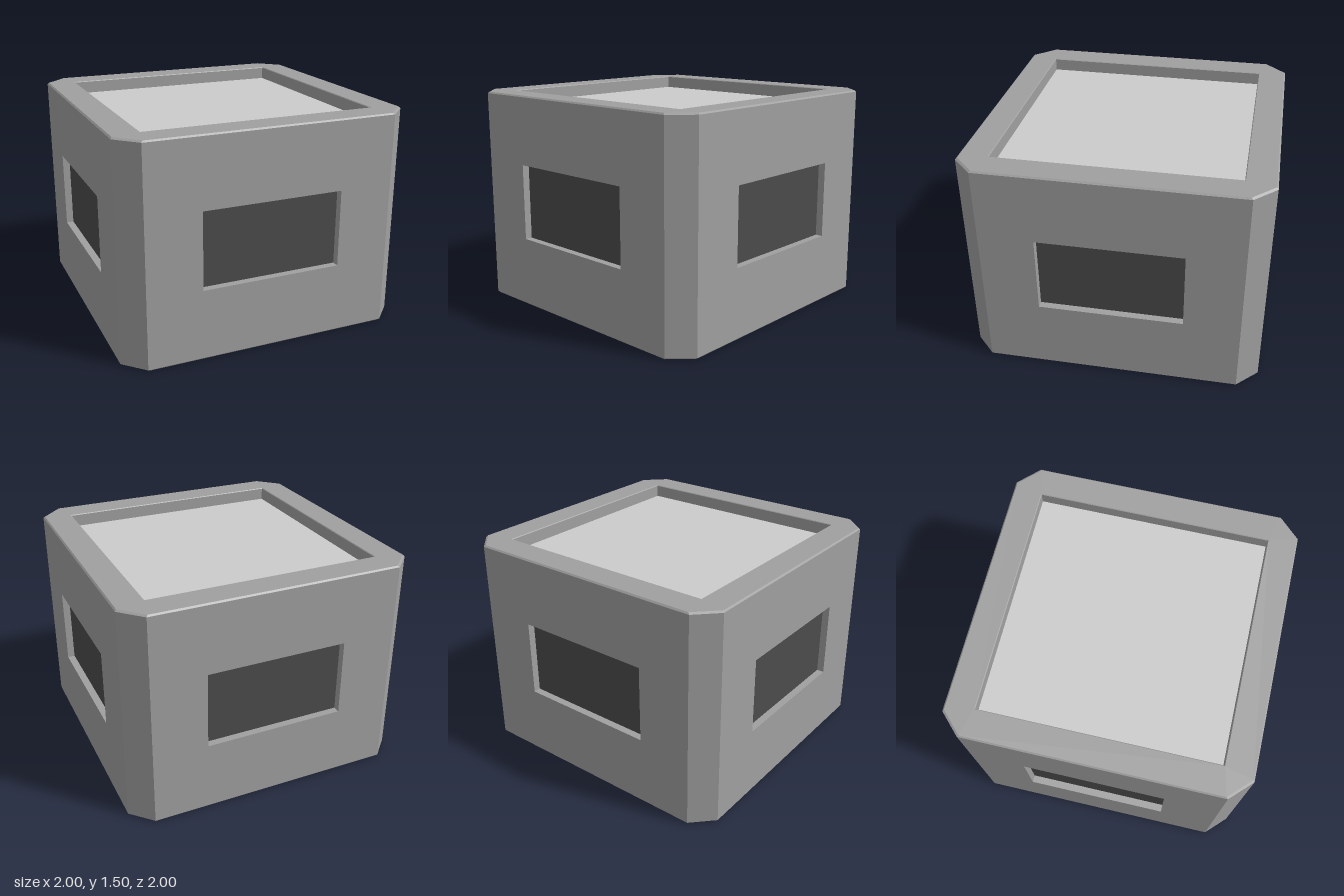
import * as THREE from 'three';

const CUT = 0.14;      // corner chamfer
const BEVEL = 0.01;    // softened top and bottom edges
const HEIGHT = 1.5;
const RECESS = 0.05;   // depth of the side windows
const OPENING = 0.805; // half width of the top tray
const FLOOR = 1.41;

const bodyMat = new THREE.MeshStandardMaterial({ color: 0xa0a0a0 });
const panelMat = new THREE.MeshStandardMaterial({ color: 0x4c4c4c });
const floorMat = new THREE.MeshStandardMaterial({ color: 0xcccccc });

// Square ring with cut corners; even segments are sides, odd ones corners
function ring(h, cut, y) {
  const pts = [];
  for (let k = 0; k < 4; k++) {
    for (let [x, z] of [[-(h - cut), h], [h - cut, h]]) {
      for (let r = 0; r < k; r++) [x, z] = [z, -x];
      pts.push([x, y, z]);
    }
  }
  return pts;
}

// Faceted surface through the rings, leaving the sides of one band open
function loft(rings, openBand) {
  const pos = [];
  for (let r = 0; r < rings.length - 1; r++) {
    for (let i = 0; i < 8; i++) {
      if (r === openBand && i % 2 === 0) continue;
      const j = (i + 1) % 8;
      const [a, b, c, d] = [rings[r][i], rings[r][j], rings[r + 1][j], rings[r + 1][i]];
      pos.push(...a, ...b, ...c, ...a, ...c, ...d);
    }
  }
  const geo = new THREE.BufferGeometry();
  geo.setAttribute('position', new THREE.Float32BufferAttribute(pos, 3));
  geo.computeVertexNormals();
  return geo;
}

function rect(Type, x, y0, y1) {
  const s = new Type();
  s.moveTo(-x, y0);
  s.lineTo(x, y0);
  s.lineTo(x, y1);
  s.lineTo(-x, y1);
  s.closePath();
  return s;
}

function add(parent, name, geo, mat) {
  const mesh = new THREE.Mesh(geo, mat);
  mesh.name = name;
  parent.add(mesh);
  return mesh;
}

export function createModel() {
  const model = new THREE.Group();
  model.name = 'chamferedBlock';

  // Underside, chamfered corners, rim and tray walls
  add(model, 'shell', loft([
    ring(0, 0, 0),
    ring(1 - BEVEL, CUT, 0),
    ring(1, CUT, BEVEL),
    ring(1, CUT, HEIGHT - BEVEL),
    ring(1 - BEVEL, CUT, HEIGHT),
    ring(OPENING, 0, HEIGHT),
    ring(OPENING - 0.005, 0, HEIGHT - 0.005),
    ring(OPENING - 0.005, 0, FLOOR),
  ], 2), bodyMat);

  // Tray floor
  const floor = add(model, 'trayFloor', new THREE.PlaneGeometry(2 * OPENING, 2 * OPENING), floorMat);
  floor.rotation.x = -Math.PI / 2;
  floor.position.y = FLOOR;

  // Four walls, each with a recessed dark panel
  const wallShape = rect(THREE.Shape, 1 - CUT, BEVEL, HEIGHT - BEVEL);
  wallShape.holes.push(rect(THREE.Path, 0.485, 0.49, 1.02));
  const wallGeo = new THREE.ExtrudeGeometry(wallShape, { depth: RECESS, bevelEnabled: false });
  const panelGeo = new THREE.ShapeGeometry(rect(THREE.Shape, 0.485, 0.49, 1.02));
  ['front', 'left', 'back', 'right'].forEach((side, i) => {
    const group = new THREE.Group();
    group.name = side + 'Side';
    group.rotation.y = i * Math.PI / 2;
    add(group, side + 'Wall', wallGeo, bodyMat).position.z = 1 - RECESS;
    add(group, side + 'Panel', panelGeo, panelMat).position.z = 1 - RECESS;
    model.add(group);
  });

  return model;
}
